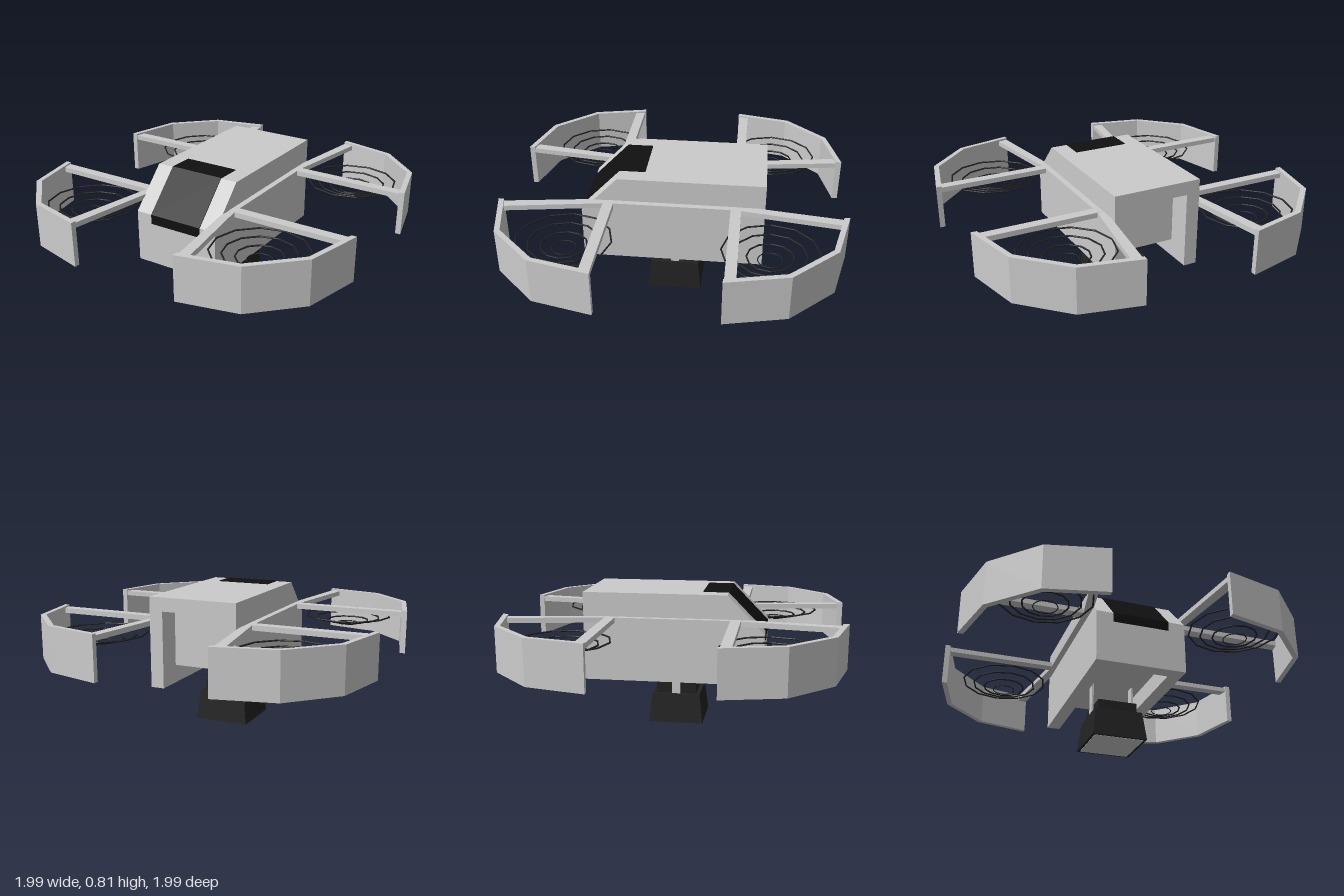
import * as THREE from 'three';

const grey = new THREE.MeshStandardMaterial({ color: 0xcccccc, flatShading: true });
const dark = new THREE.MeshStandardMaterial({ color: 0x222222, flatShading: true });
const black = new THREE.MeshStandardMaterial({ color: 0x101010, flatShading: true });

function mesh(parent, name, geometry, material = grey) {
  const m = new THREE.Mesh(geometry, material);
  m.name = name;
  parent.add(m);
  return m;
}

function box(parent, name, size, pos, material) {
  const m = mesh(parent, name, new THREE.BoxGeometry(...size), material);
  m.position.set(...pos);
  return m;
}

const toShape = (points) => new THREE.Shape(points.map(([a, b]) => new THREE.Vector2(a, b)));

// Side profile in (z, y), extruded across x and centred on x
function sideProfile(points, width, x = 0) {
  const g = new THREE.ExtrudeGeometry(toShape(points), { depth: width, bevelEnabled: false });
  return g.translate(0, 0, -width / 2).rotateY(-Math.PI / 2).translate(x, 0, 0);
}

// Plan outline in (x, z), extruded down from the given top
function planProfile(points, top, height) {
  const g = new THREE.ExtrudeGeometry(toShape(points), { depth: height, bevelEnabled: false });
  return g.rotateX(Math.PI / 2).translate(0, top, 0);
}

function createBody() {
  const body = new THREE.Group();
  body.name = 'body';
  // Side walls with the sloped nose
  const wall = [[-0.53, 0.285], [0.53, 0.285], [0.53, 0.59], [0.315, 0.81], [-0.53, 0.81]];
  for (const s of [-1, 1]) mesh(body, 'sideWall', sideProfile(wall, 0.08, s * 0.225));
  // Core between the walls: recessed at the rear and raised underneath
  mesh(body, 'core', sideProfile([
    [-0.53, 0.81], [-0.53, 0.73], [-0.385, 0.73], [-0.385, 0.39], [0.45, 0.39],
    [0.45, 0.285], [0.53, 0.285], [0.53, 0.59], [0.315, 0.81],
  ], 0.37));
  // Dark window wrapping roof, slope and nose
  mesh(body, 'window', sideProfile([
    [0.165, 0.814], [0.317, 0.814], [0.534, 0.592], [0.534, 0.535],
    [0.5, 0.535], [0.5, 0.58], [0.3, 0.78], [0.165, 0.78],
  ], 0.33), black);
  // Rails that carry the arms
  for (const s of [-1, 1]) box(body, 'rail', [0.035, 0.03, 0.78], [s * 0.2825, 0.655, 0]);
  return body;
}

function createRotor(sx, sz) {
  const rotor = new THREE.Group();
  rotor.name = 'rotorUnit';
  const mirror = (pts) => pts.map(([x, z]) => [x * sx, z * sz]);
  // Faceted guard wall
  mesh(rotor, 'guard', planProfile(mirror([
    [0.33, 0.995], [0.67, 0.915], [0.915, 0.67], [0.995, 0.33],
    [0.963, 0.33], [0.888, 0.653], [0.653, 0.888], [0.33, 0.963],
  ]), 0.68, 0.26));
  // Cross arm and slanted arm
  mesh(rotor, 'crossArm', planProfile(mirror([
    [0.26, 0.335], [0.975, 0.335], [0.965, 0.395], [0.26, 0.395],
  ]), 0.67, 0.03));
  mesh(rotor, 'slantedArm', planProfile(mirror([
    [0.25, 0.38], [0.3, 0.38], [0.395, 0.965], [0.335, 0.975],
  ]), 0.669, 0.03));
  // Concentric rings stepping downward to the middle
  [0.268, 0.2, 0.13, 0.068].forEach((r, i) => {
    const ring = mesh(rotor, 'rotorRing', new THREE.TorusGeometry(r, i === 3 ? 0.003 : 0.005, 6, i === 3 ? 24 : 12)
      .rotateX(Math.PI / 2), dark);
    ring.position.set(sx * 0.567, 0.585 - i * 0.018, sz * 0.567);
  });
  return rotor;
}

function createCamera() {
  const pod = new THREE.Group();
  pod.name = 'cameraPod';
  // Tapered square housing with collar and lens plate
  const housing = new THREE.CylinderGeometry(0.145 * Math.SQRT2, 0.165 * Math.SQRT2, 0.175, 4).rotateY(Math.PI / 4);
  mesh(pod, 'housing', housing, dark).position.y = 0.0895;
  box(pod, 'collar', [0.24, 0.07, 0.24], [0, 0.207, 0], dark);
  box(pod, 'lensPlate', [0.3, 0.01, 0.3], [0, 0.005, 0]);
  // Hanging struts
  for (const s of [-1, 1]) box(pod, 'strut', [0.012, 0.23, 0.05], [s * 0.126, 0.29, 0]);
  return pod;
}

export function createModel() {
  const model = new THREE.Group();
  model.name = 'quadcopter';
  model.add(createBody(), createCamera());
  for (const sx of [-1, 1]) for (const sz of [-1, 1]) model.add(createRotor(sx, sz));
  return model;
}
